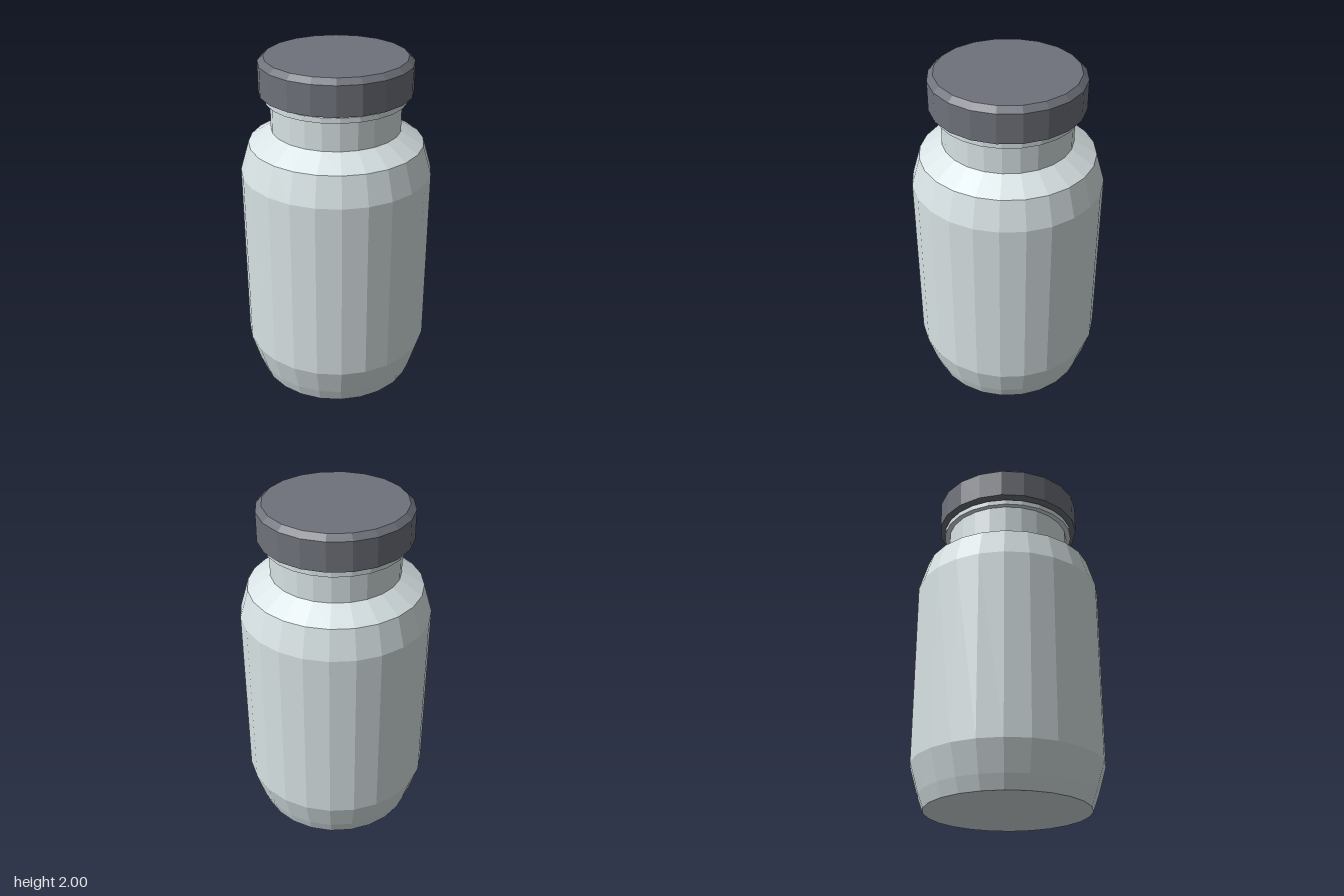
import * as THREE from 'three';

// Faceted solid of revolution from [radius, height] pairs, listed bottom to top
function turned(name, profile, sides, color) {
  const points = profile.map(([r, y]) => new THREE.Vector2(r, y));
  const material = new THREE.MeshStandardMaterial({ color, flatShading: true });
  const mesh = new THREE.Mesh(new THREE.LatheGeometry(points, sides), material);
  mesh.name = name;
  return mesh;
}

export function createModel() {
  const group = new THREE.Group();
  group.name = 'jar';
  const glass = 0xd8e2e4;

  // Body: tapered foot, straight wall and two-step shoulder
  group.add(turned('body', [
    [0, 0], [0.47, 0], [0.5, 0.08], [0.55, 0.25],
    [0.55, 1.335], [0.5, 1.505], [0.37, 1.585], [0, 1.585],
  ], 24, glass));

  // Neck
  group.add(turned('neck', [[0.37, 1.58], [0.37, 1.76]], 24, glass));

  // Rim around the mouth
  group.add(turned('rim', [
    [0, 1.755], [0.4, 1.755], [0.4, 1.785], [0, 1.785],
  ], 24, glass));

  // Lid with a bevelled top edge
  group.add(turned('lid', [
    [0, 1.8], [0.433, 1.8], [0.433, 1.97], [0.4, 2], [0, 2],
  ], 20, 0x6f727b));

  return group;
}
